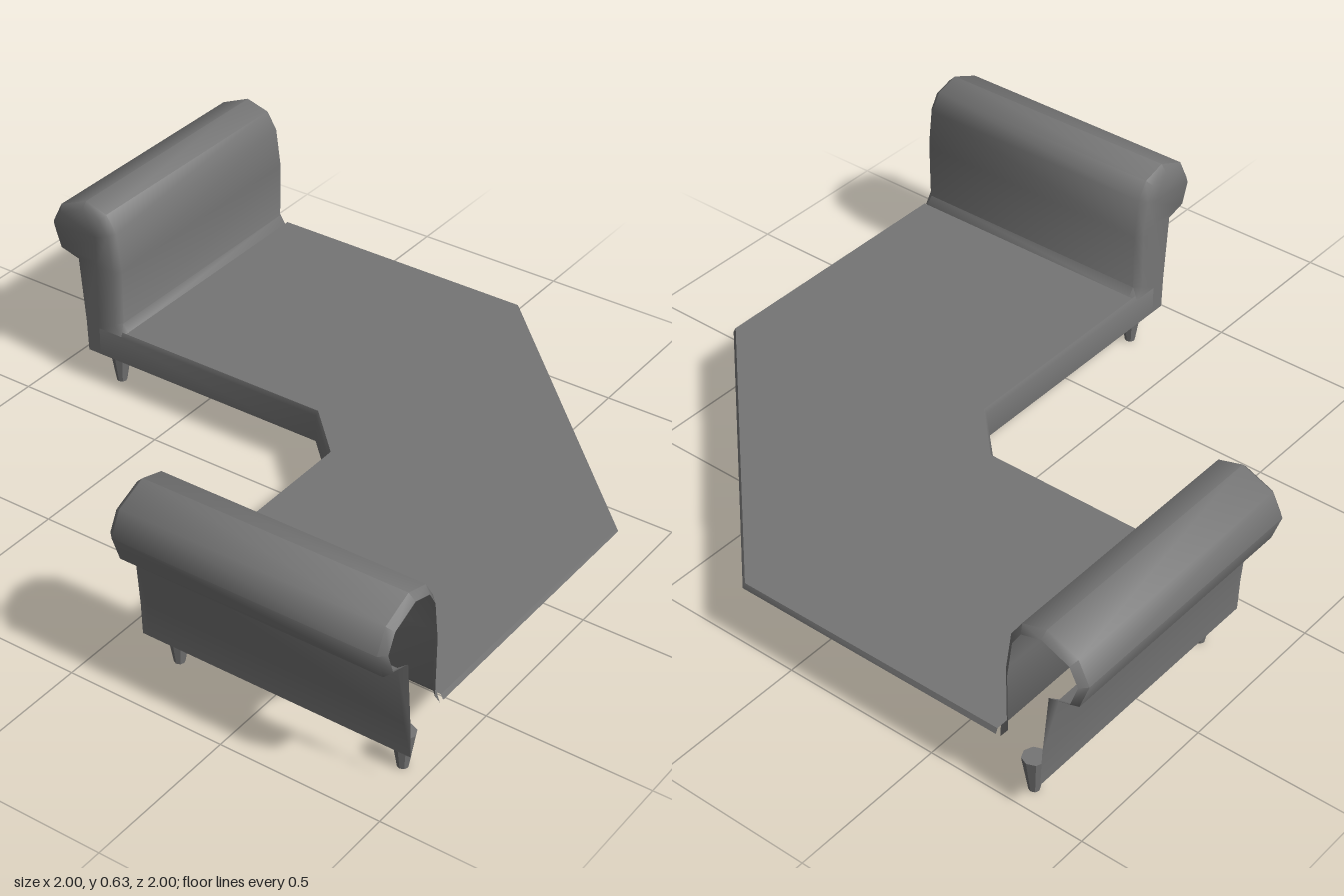
import * as THREE from 'three';
import { toCreasedNormals } from 'three/addons/utils/BufferGeometryUtils.js';

const material = new THREE.MeshStandardMaterial({ color: 0x757575, side: THREE.DoubleSide });

function part(name, geometry) {
  const mesh = new THREE.Mesh(geometry, material);
  mesh.name = name;
  return mesh;
}

// Surface through rows of [x, y, z] points
function loft(rows, crease = 0.95) {
  const n = rows[0].length, index = [];
  for (let k = 0; k < rows.length - 1; k++) {
    for (let i = 0; i < n - 1; i++) {
      const a = k * n + i, b = a + n;
      index.push(a, a + 1, b, a + 1, b + 1, b);
    }
  }
  const g = new THREE.BufferGeometry();
  g.setAttribute('position', new THREE.Float32BufferAttribute(rows.flat(2), 3));
  g.setIndex(index);
  return toCreasedNormals(g, crease);
}

const BASE = 0.115, LIP = 0.205, SEAT = 0.22, FRONT = -0.142, BEVEL = 0.02;

// Arm cross-section, from the foot of the outside over the roll to the seat
const profile = [
  [-0.865, BASE], [-0.87, 0.22], [-0.908, 0.425], [-0.97, 0.437], [-1, 0.52], [-0.965, 0.59],
  [-0.867, 0.632], [-0.79, 0.61], [-0.755, 0.555], [-0.738, 0.43], [-0.74, 0.245], [-0.72, SEAT],
];

// Cross-section drawn in for the rounded ends; the lower outside stays straight
const insetProfile = profile.map(([x, y], i) => {
  if (i < 2) return [x, y];
  const p = profile[i - 1], q = profile[Math.min(i + 1, profile.length - 1)];
  const tx = q[0] - p[0], ty = q[1] - p[1], l = Math.hypot(tx, ty);
  return [x + (ty / l) * BEVEL, y - (tx / l) * BEVEL];
});

// Middle line that the front panel closes onto
const spine = insetProfile.map(([, y]) => [-0.82, Math.min(y, 0.53)]);

function createArm(name) {
  const arm = new THREE.Group();
  arm.name = name;

  // Upholstered shell with a closed, softly rounded front and an open back end
  const sections = [
    [spine, FRONT], [insetProfile, FRONT], [profile, FRONT - BEVEL], [profile, -0.98], [insetProfile, -1],
  ];
  arm.add(part('armShell', loft(sections.map(([pts, z]) => pts.map(([x, y]) => [x, y, z])))));

  // Tapered legs
  for (const z of [-0.205, -0.93]) {
    const leg = part('leg', toCreasedNormals(new THREE.CylinderGeometry(0.035, 0.016, BASE, 8), 0.3));
    leg.position.set(-0.79, BASE / 2, z);
    arm.add(leg);
  }
  return arm;
}

export function createModel() {
  const model = new THREE.Group();
  model.name = 'cornerSofa';

  // Seat outline as [x, z]: outer edges and the same edges drawn in by a small rounding
  const r = 0.007, f = -FRONT, m = f + r;
  const front = [[-0.82, -f], [-0.005, -f], [f, 0.005], [f, 0.82]];
  const frontIn = [[-0.82, -m], [-0.002, -m], [m, 0.002], [m, 0.82]];
  const back = [[1, 0.72], [1, -0.165], [0.165, -1], [-0.72, -1]];
  const backIn = [[1 - r, 0.72], [1 - r, -0.162], [0.162, r - 1], [-0.72, r - 1]];
  const at = (pts, y) => pts.map(([x, z]) => [x, y, z]);

  // Seat sheet
  const outline = [[-0.72, -m], ...frontIn.slice(1, 3), [m, 0.72], ...backIn];
  const top = new THREE.ShapeGeometry(new THREE.Shape(outline.map(([x, z]) => new THREE.Vector2(x, -z))));
  top.rotateX(-Math.PI / 2).translate(0, SEAT, 0);
  model.add(part('seat', top));

  // Front skirt with rounded top, and the short lip on the open back
  model.add(part('frontSkirt', loft([at(front, BASE), at(front, LIP), at(frontIn, SEAT)])));
  model.add(part('backLip', loft([at(back, LIP), at(backIn, SEAT)])));

  // Two arms mirrored across the corner diagonal
  const leftArm = createArm('leftArm');
  leftArm.scale.x = -1;
  leftArm.rotation.y = -Math.PI / 2;
  model.add(createArm('rightArm'), leftArm);

  return model;
}
